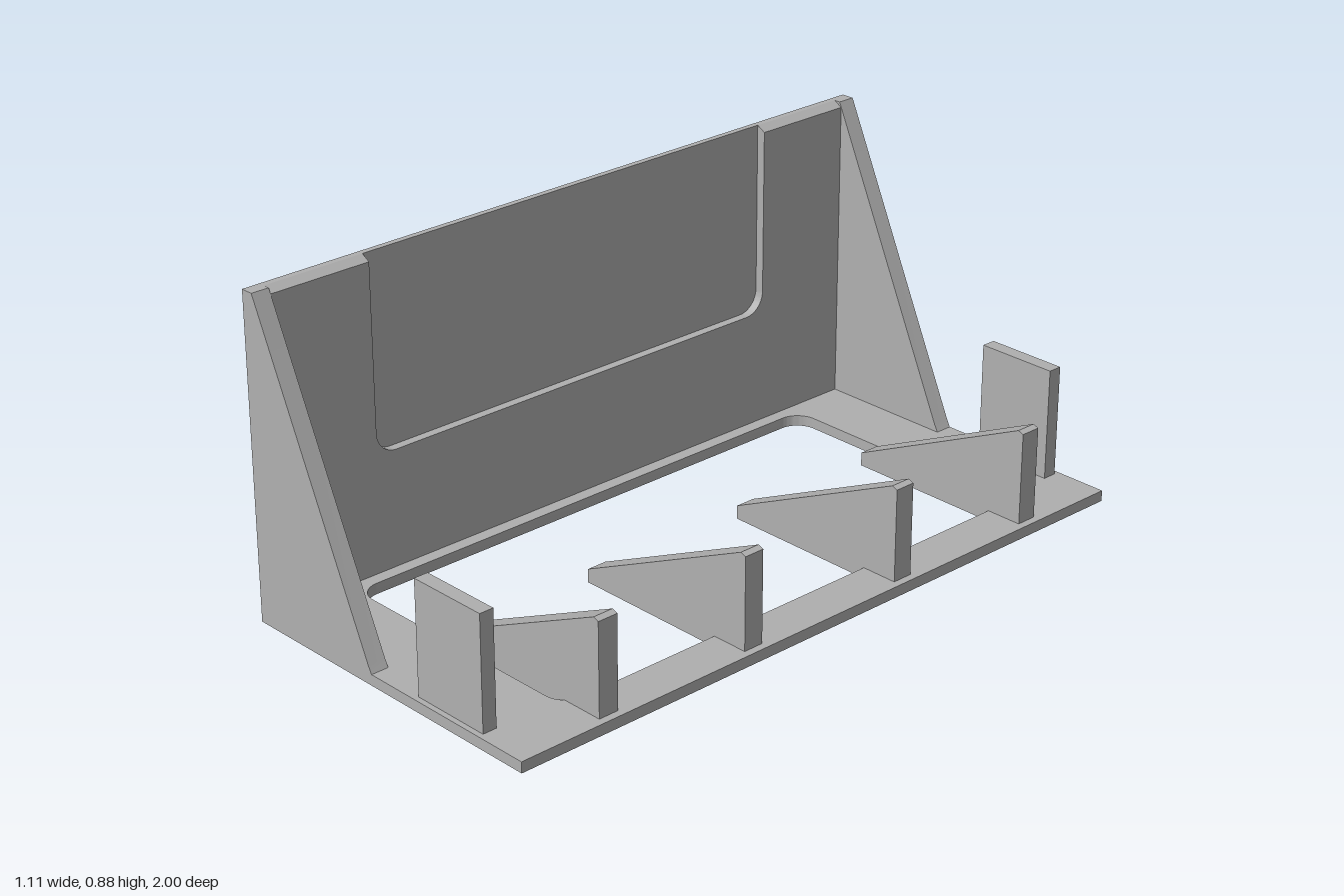
import * as THREE from 'three';
import { toCreasedNormals } from 'three/addons/utils/BufferGeometryUtils.js';

const grey = new THREE.MeshStandardMaterial({ color: 0xb0b0b0 });
grey.name = 'plain grey';

const polygon = (points) => new THREE.Shape(points.map(([x, y]) => new THREE.Vector2(x, y)));

const extrude = (shape, depth) =>
  new THREE.ExtrudeGeometry(shape, { depth, bevelEnabled: false, curveSegments: 8 });

function roundedRect(x0, y0, x1, y1, r) {
  const p = new THREE.Path();
  p.absarc(x1 - r, y1 - r, r, 0, Math.PI / 2);
  p.absarc(x0 + r, y1 - r, r, Math.PI / 2, Math.PI);
  p.absarc(x0 + r, y0 + r, r, Math.PI, Math.PI * 1.5);
  p.absarc(x1 - r, y0 + r, r, Math.PI * 1.5, Math.PI * 2);
  p.closePath();
  return p;
}

export function createModel() {
  const model = new THREE.Group();
  model.name = 'wallRack';

  const add = (name, geometry) => {
    const mesh = new THREE.Mesh(toCreasedNormals(geometry, 0.5), grey);
    mesh.name = name;
    model.add(mesh);
  };
  // Side profile in x and y, spanning z0 to z1
  const slab = (name, points, z0, z1) =>
    add(name, extrude(polygon(points), z1 - z0).translate(0, 0, z0));
  const rect = (x0, y0, x1, y1) => [[x0, y0], [x1, y0], [x1, y1], [x0, y1]];

  const back = -0.417, skin = -0.4, wallFront = -0.375;
  const height = 0.877, floor = 0.03;

  // Base plate with a large rounded opening
  const base = polygon(rect(skin, -1, 0.553, 1));
  base.holes.push(roundedRect(-0.338, -0.767, 0.428, 0.767, 0.06));
  add('basePlate', extrude(base, floor).rotateX(-Math.PI / 2));

  // Thin back panel
  slab('backPanel', rect(back, 0, skin, height), -1, 1);

  // Raised U-shaped frame on the panel, with its top edge chamfered
  const frame = new THREE.Shape();
  const w = 0.95, n = 0.66, notch = 0.35, r = 0.06;
  frame.moveTo(-w, floor);
  frame.lineTo(w, floor);
  frame.lineTo(w, height);
  frame.lineTo(n, height);
  frame.absarc(n - r, notch + r, r, 0, -Math.PI / 2, true);
  frame.absarc(-n + r, notch + r, r, -Math.PI / 2, -Math.PI, true);
  frame.lineTo(-n, height);
  frame.lineTo(-w, height);
  frame.closePath();
  const frameGeometry = extrude(frame, wallFront - skin);
  const pos = frameGeometry.attributes.position;
  for (let i = 0; i < pos.count; i++) {
    if (pos.getY(i) > height - 0.001 && pos.getZ(i) > 0.001) pos.setY(i, 0.863);
  }
  add('backFrame', frameGeometry.rotateY(Math.PI / 2).translate(skin, 0, 0));

  // Parts mirrored at both ends
  for (const s of [-1, 1]) {
    const side = s > 0 ? 'Front' : 'Rear';
    const pair = (name, points, a, b) =>
      slab(name + side, points, Math.min(s * a, s * b), Math.max(s * a, s * b));

    pair('gusset', [[skin, floor], [0.014, floor], [0.003, 0.05], [-0.381, height], [skin, height]], 0.95, 1);
    pair('endTab', rect(0.17, floor, 0.402, 0.34), 0.945, 0.985);
    pair('hook', [
      [back, 0.71], [back, 0.762], [-0.555, 0.762], [-0.555, 0.658],
      [-0.547, 0.65], [-0.475, 0.65], [-0.475, 0.71],
    ], 0.803, 0.847);
    pair('peg', rect(-0.463, 0.3, back, 0.35), 0.803, 0.847);
  }

  // Sloping support ribs reaching in over the opening
  const rib = [
    [-0.027, 0], [0.428, 0], [0.428, floor], [0.532, floor],
    [0.532, 0.283], [0.516, 0.289], [-0.027, 0.037],
  ];
  [-0.724, -0.26, 0.256, 0.719].forEach((z, i) => slab('rib' + (i + 1), rib, z - 0.029, z + 0.029));

  return model;
}
